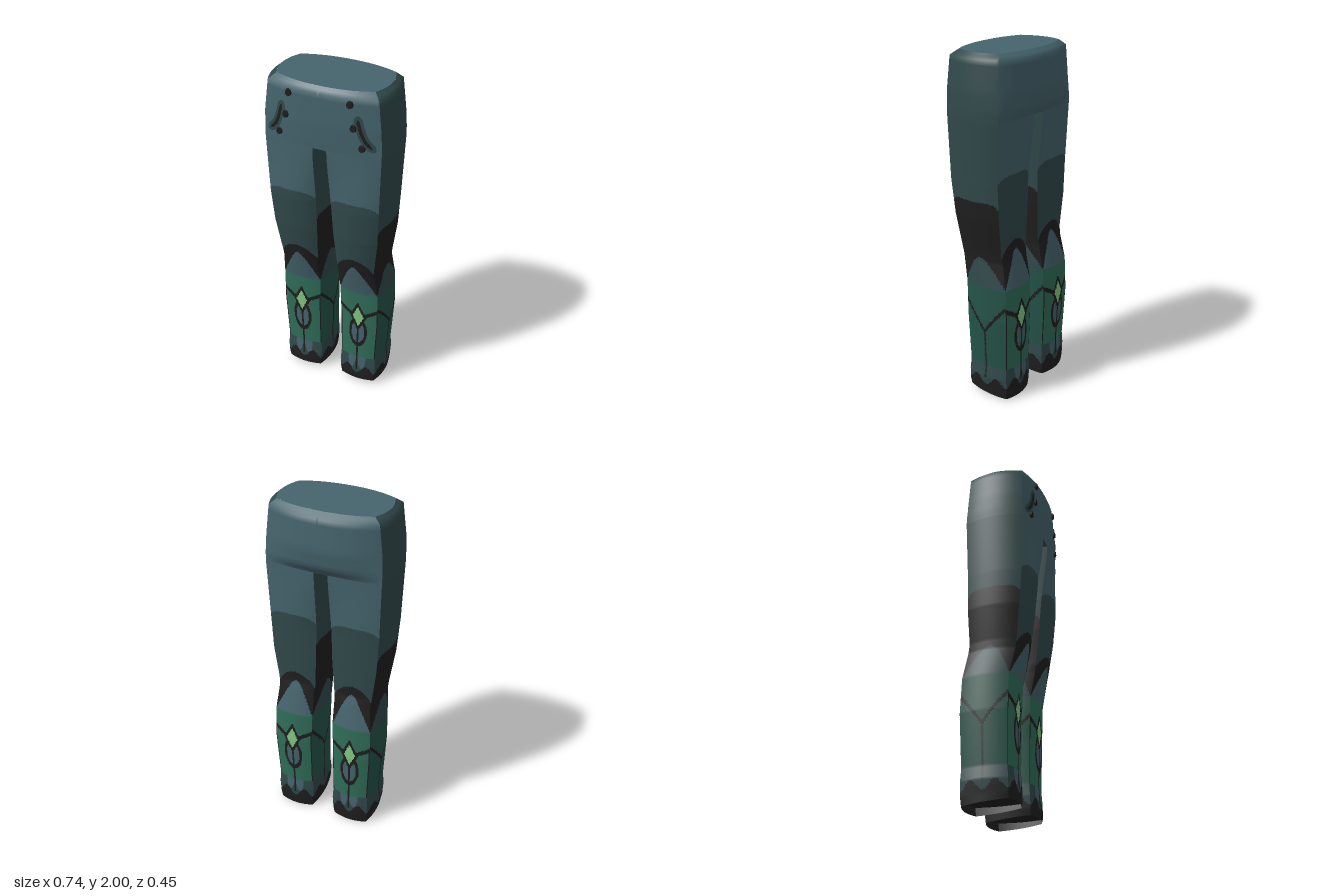
import * as THREE from 'three';

const mat = (name, color, side = THREE.FrontSide) => {
  const m = new THREE.MeshStandardMaterial({ color, side });
  m.name = name;
  return m;
};

// Trouser cross-sections from hem to waist:
// y, inner corner x, outer corner x, inner bulge, outer bulge, front z, front bulge, back z, back bulge
const sections = [
  [0, .075, .285, .015, .02, .103, .02, -.19, .02],
  [.05, .07, .29, .015, .02, .107, .02, -.195, .02],
  [.13, .065, .295, .016, .025, .105, .02, -.2, .025],
  [.2, .07, .29, .018, .022, .1, .02, -.197, .025],
  [.5, .07, .305, .025, .025, .105, .02, -.207, .025],
  [.7, .065, .3, .02, .027, .112, .02, -.2, .025],
  [.85, .065, .285, .02, .027, .148, .025, -.168, .02],
  [.9, .06, .29, .015, .025, .16, .03, -.155, .015],
  [1.1, .05, .315, .02, .03, .19, .035, -.16, .015],
  [1.3, .045, .325, .02, .033, .208, .035, -.165, .02],
  [1.65, .04, .335, .028, .036, .216, .035, -.182, .025],
  [1.652, 0, .335, 0, .036, .216, .035, -.182, .025],
  [1.7, 0, .335, 0, .036, .22, .04, -.215, .06],
  [1.8, 0, .33, 0, .036, .226, .045, -.228, .08],
  [1.97, 0, .31, 0, .035, .225, .05, -.215, .07],
  [2, 0, .275, 0, .035, .195, .055, -.172, .05],
];

function sectionAt(y) {
  let i = 0;
  while (i < sections.length - 2 && y > sections[i + 1][0]) i++;
  const a = sections[i], b = sections[i + 1], t = (y - a[0]) / (b[0] - a[0]);
  return a.map((v, k) => v + (b[k] - v) * t);
}

// Depth of the front (or back) panel: one bow across the hips, one per leg lower down
function depthAt(x, y, back) {
  const [, xi, xo, , , zf, df, zb, db] = sectionAt(y);
  const t = THREE.MathUtils.smoothstep(1.65 - y, 0, .4);
  const s = (2 * x - xi - xo) / (xo - xi);
  const bow = (1 - t) * Math.abs(x / xo) ** 2.3 + t * s * s;
  return back ? zb + db * bow : zf - df * bow;
}

// Point on panel 0 front, 1 outer, 2 back, 3 inner; s runs from -1 to 1 around the leg
function pointAt(panel, s, y) {
  const [, xi, xo, bi, bo] = sectionAt(y);
  let x, z;
  if (panel % 2 === 0) {
    const dir = panel === 0 ? s : -s;
    x = xi + (xo - xi) * (dir + 1) / 2;
    z = depthAt(x, y, panel === 2);
  } else {
    const outer = panel === 1, cx = outer ? xo : xi;
    const t = ((outer ? -s : s) + 1) / 2;
    z = THREE.MathUtils.lerp(depthAt(cx, y, true), depthAt(cx, y, false), t);
    x = outer ? cx + bo * (1 - s * s) : cx - bi * (1 - s * s);
  }
  return [x, y + Math.max(0, 1 - y / .1) * (z + .2) * .09, z];
}

// Boot cuff shared by every panel
const cuff = (s, y) => (y > .1 - .03 * Math.cos(s * 6) ? 'slate' : 'black');

// Colour of the front and back panels
function paintFront(s, y) {
  const a = Math.abs(s);
  if (y > 1.355 - .04 * a ** 4) return 'teal';
  if (y > .88 + .09 * (1 - a * a)) return 'slate';
  if (y > .915 - .22 * a ** 1.5) return 'black';
  const gem = a / .3 + Math.abs(y - .52) / .075;
  if (gem < 1) return 'lime';
  if (gem < 1.48) return 'black';
  const ring = Math.hypot(a / .5, (y - .4) / .115);
  if (ring < 1) return ring > .72 || a < .04 ? 'black' : 'teal';
  if (a > .35 && Math.abs(y - .51 - .065 * a) < .014) return 'black';
  if (a < .06 && y > .1 && y < .35) return 'black';
  if (a > .94 && y > .2 && y < .57) return 'black';
  if (y > .7) return 'teal';
  if (y > .2) return 'green';
  if (a < .5 && y > .11 + 1.2 * (a - .28) ** 2) return 'teal';
  return cuff(s, y);
}

// Colour of the outer and inner panels
function paintSide(s, y) {
  const a = Math.abs(s);
  if (y > 1.205 - .04 * a ** 8) return 'slate';
  if (y > .87 - .17 * a ** 1.6) return 'black';
  if (Math.abs(y - .42 - .17 * a ** .85) < .013) return 'black';
  if (a < .04 && y > .12 && y < .42) return 'black';
  if (y > .7) return 'slate';
  if (y > .2) return 'darkGreen';
  return cuff(s, y);
}

function rowHeights() {
  const ys = [];
  for (let k = 0; k < sections.length - 1; k++) {
    const y0 = sections[k][0], y1 = sections[k + 1][0];
    const n = Math.ceil((y1 - y0) / (y0 < 1.35 ? .0085 : .03));
    for (let j = 0; j < n; j++) ys.push(y0 + (y1 - y0) * j / n);
  }
  return [...ys, 2];
}

// One trouser half as four creased panels, split by colour
function buildHalf(sign, mats) {
  const ys = rowHeights(), pos = [], all = [], byColour = {};
  for (let panel = 0; panel < 4; panel++) {
    const cols = panel % 2 ? 24 : 40, base = pos.length / 3;
    const paint = panel % 2 ? paintSide : paintFront;
    for (const y of ys) for (let i = 0; i <= cols; i++) {
      const [x, py, z] = pointAt(panel, 2 * i / cols - 1, y);
      pos.push(sign * x, py, z);
    }
    for (let j = 0; j < ys.length - 1; j++) for (let i = 0; i < cols; i++) {
      for (const tri of [[[0, 0], [1, 0], [1, 1]], [[0, 0], [1, 1], [0, 1]]]) {
        const ids = tri.map(([u, v]) => base + (j + v) * (cols + 1) + i + u);
        if (sign < 0) ids.reverse();
        const s = 2 * (i + (tri[0][0] + tri[1][0] + tri[2][0]) / 3) / cols - 1;
        const y = tri.reduce((sum, c) => sum + ys[j + c[1]] / 3, 0);
        (byColour[paint(s, y)] ??= []).push(...ids);
        all.push(...ids);
      }
    }
  }
  const whole = new THREE.BufferGeometry();
  whole.setAttribute('position', new THREE.Float32BufferAttribute(pos, 3));
  whole.setIndex(all);
  whole.computeVertexNormals();
  const group = new THREE.Group();
  for (const [colour, ids] of Object.entries(byColour)) {
    const g = new THREE.BufferGeometry();
    g.setAttribute('position', whole.getAttribute('position'));
    g.setAttribute('normal', whole.getAttribute('normal'));
    g.setIndex(ids);
    const mesh = new THREE.Mesh(g, mats[colour]);
    mesh.name = colour + 'Cloth';
    group.add(mesh);
  }
  return group;
}

// Flat fan closing the outline of the given panels
function buildCap(sign, panels, y, cx, up, material, name) {
  const pos = [sign * cx, y, panels.length > 3 ? -.05 : 0], idx = [];
  for (const p of panels) for (let i = 0; i <= 16; i++) {
    const [x, , z] = pointAt(p, i / 8 - 1, y);
    pos.push(sign * x, y, z);
  }
  for (let i = 1; i < pos.length / 3 - 1; i++) idx.push(...((sign > 0) === up ? [0, i, i + 1] : [0, i + 1, i]));
  const g = new THREE.BufferGeometry();
  g.setAttribute('position', new THREE.Float32BufferAttribute(pos, 3));
  g.setIndex(idx);
  g.computeVertexNormals();
  const mesh = new THREE.Mesh(g, material);
  mesh.name = name;
  return mesh;
}

// Rounded strip following a curve over the front panel
function buildStrip(sign, curve, from, to, width, lift, material, name) {
  const g = new THREE.PlaneGeometry(1, 1, 4, 24), p = g.attributes.position;
  for (let i = 0; i < p.count; i++) {
    const v = p.getY(i) + .5, t = from + (to - from) * v;
    const c = curve.getPoint(t), d = curve.getTangent(t);
    const w = p.getX(i) * width * Math.min(1, .35 + 6 * Math.min(v, 1 - v));
    const x = c.x + d.y * w, y = c.y - d.x * w;
    p.setXYZ(i, sign * x, y, depthAt(x, y, false) + lift);
  }
  if (sign < 0) g.index.array.reverse();
  g.computeVertexNormals();
  const mesh = new THREE.Mesh(g, material);
  mesh.name = name;
  return mesh;
}

export function createModel() {
  const mats = {
    teal: mat('teal cloth', 0x46646d),
    slate: mat('dark slate cloth', 0x31494b),
    black: mat('black trim', 0x201f20, THREE.DoubleSide),
    green: mat('green plate', 0x306e59),
    darkGreen: mat('dark green plate', 0x255448),
    lime: mat('light green gem', 0x82c882),
  };
  const model = new THREE.Group();
  model.name = 'trousers';
  const pocket = new THREE.CatmullRomCurve3([[.21, 1.885], [.225, 1.82], [.253, 1.75], [.305, 1.695]]
    .map(([x, y]) => new THREE.Vector3(x, y, 0)));
  for (const sign of [1, -1]) {
    const half = buildHalf(sign, mats);
    half.name = sign > 0 ? 'leftHalf' : 'rightHalf';
    half.add(buildCap(sign, [0, 1, 2], 2, 0, true, mats.teal, 'waistTop'));
    half.add(buildCap(sign, [0, 1, 2, 3], .05, .18, false, mats.black, 'hemInside'));
    // Pocket flap with its dark slit
    half.add(buildStrip(sign, pocket, 0, 1, .048, .004, mats.slate, 'pocket'));
    half.add(buildStrip(sign, pocket, .1, .9, .018, .007, mats.black, 'pocketSlit'));
    // Studs down the front
    for (const [x, y] of [[.17, 1.94], [.19, 1.815], [.235, 1.705]]) {
      const stud = new THREE.Mesh(new THREE.CylinderGeometry(.016, .02, .016, 8), mats.black);
      stud.name = 'stud';
      stud.rotation.x = Math.PI / 2;
      stud.scale.z = 1.2;
      stud.position.set(sign * x, y, depthAt(x, y, false) + .003);
      half.add(stud);
    }
    model.add(half);
  }
  return model;
}
